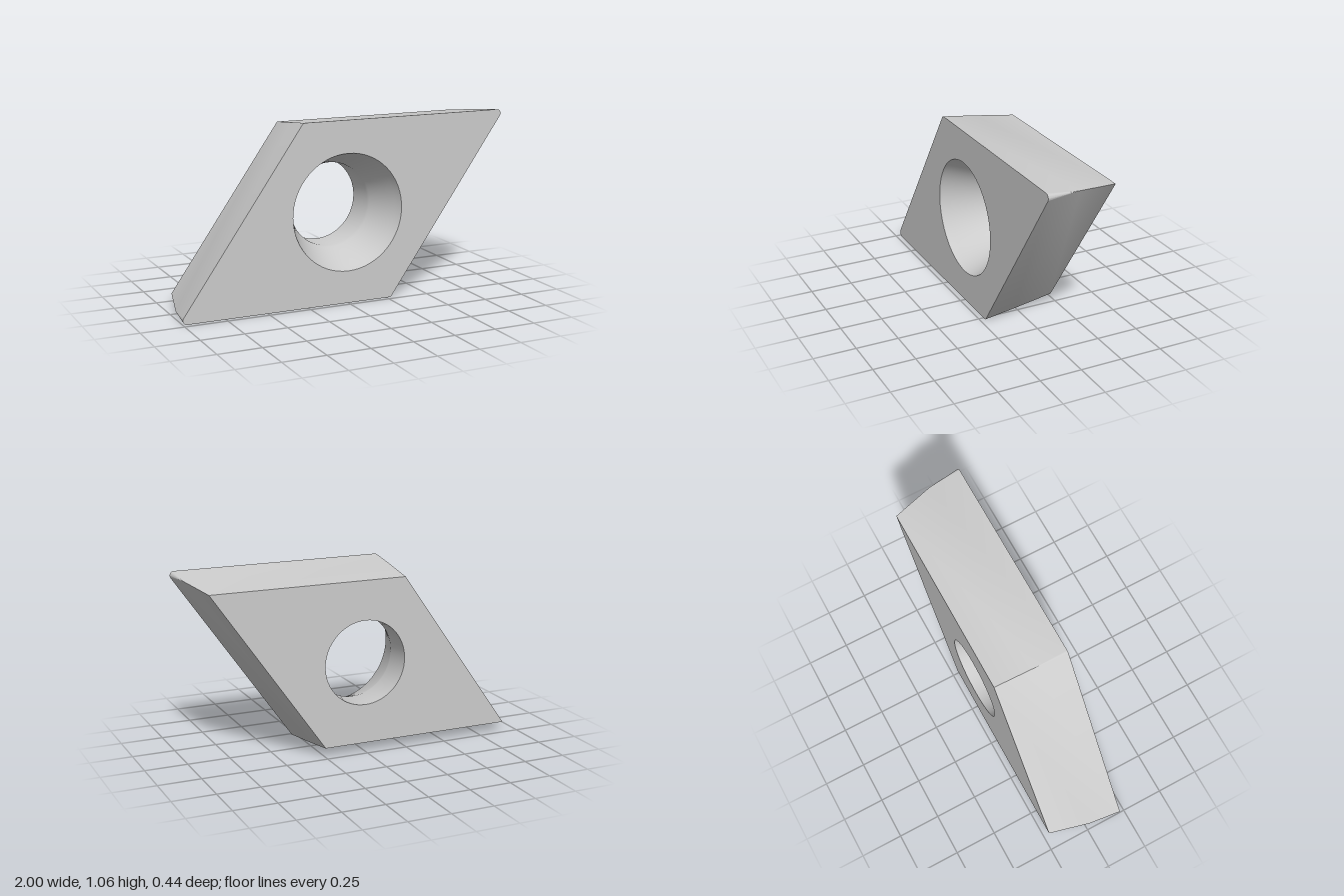
import * as THREE from 'three';
import { toCreasedNormals } from 'three/addons/utils/BufferGeometryUtils.js';

const HALF = 0.532;              // half height at the front face
const DEPTH = 0.44;              // thickness along z
const NOSE = 0.024;              // corner radius at the front face
const RELIEF = Math.tan(THREE.MathUtils.degToRad(7));
const ANGLE = THREE.MathUtils.degToRad(55);
const ARC = 8;

// Rounded rhombus outline, counter-clockwise, moved inward by the given inset
function outline(inset) {
  const side = HALF / Math.sin(ANGLE), shift = HALF / Math.tan(ANGLE);
  const corners = [
    [side + shift, HALF, -35, 90],
    [shift - side, HALF, 90, 145],
    [-side - shift, -HALF, 145, 270],
    [side - shift, -HALF, 270, 325],
  ];
  const radius = Math.max(NOSE - inset, 0);
  const scale = 1 - Math.max(inset, NOSE) / HALF;
  const points = [];
  for (const [x, y, from, to] of corners) {
    for (let i = 0; i <= ARC; i++) {
      const a = THREE.MathUtils.degToRad(from + (to - from) * i / ARC);
      points.push(new THREE.Vector2(x * scale + radius * Math.cos(a), y * scale + radius * Math.sin(a)));
    }
  }
  return points;
}

// Tapered flanks; the rounded corners run out to sharp edges part way back
function flankGeometry() {
  const levels = [0, NOSE / RELIEF, DEPTH];
  const positions = [], index = [];
  const n = 4 * (ARC + 1);
  levels.forEach((d) => {
    for (const p of outline(d * RELIEF)) positions.push(p.x, p.y, DEPTH / 2 - d);
  });
  for (let k = 0; k < levels.length - 1; k++) {
    for (let i = 0; i < n; i++) {
      const a = k * n + i, b = k * n + (i + 1) % n;
      index.push(a, a + n, b, b, a + n, b + n);
    }
  }
  const g = new THREE.BufferGeometry();
  g.setAttribute('position', new THREE.Float32BufferAttribute(positions, 3));
  g.setIndex(index);
  return toCreasedNormals(g, 0.5);
}

// Flat face with a round opening
function faceGeometry(points, holeRadius) {
  const shape = new THREE.Shape(points.filter((p, i) => i === 0 || p.distanceTo(points[i - 1]) > 1e-5));
  const hole = new THREE.Path();
  hole.absarc(0, 0, holeRadius, 0, Math.PI * 2, true);
  shape.holes.push(hole);
  return new THREE.ShapeGeometry(shape, 32);
}

// Screw hole: short lip, curved countersink, straight bore
function holeGeometry() {
  const z = DEPTH / 2;
  const seat = new THREE.QuadraticBezierCurve(
    new THREE.Vector2(0.335, z - 0.02),
    new THREE.Vector2(0.275, 0.06),
    new THREE.Vector2(0.248, -0.04),
  ).getPoints(10);
  const profile = [new THREE.Vector2(0.342, z), ...seat, new THREE.Vector2(0.248, -z)];
  const g = new THREE.LatheGeometry(profile, 64);
  g.rotateX(Math.PI / 2);
  return toCreasedNormals(g, 0.4);
}

export function createModel() {
  const group = new THREE.Group();
  group.name = 'rhombicInsert';
  const material = new THREE.MeshStandardMaterial({ color: 0xcccccc });
  const add = (name, geometry) => {
    const mesh = new THREE.Mesh(geometry, material);
    mesh.name = name;
    mesh.position.y = HALF;
    group.add(mesh);
    return mesh;
  };

  add('flanks', flankGeometry());
  add('frontFace', faceGeometry(outline(0), 0.342)).position.z = DEPTH / 2;

  // The outline is symmetric under a half turn, so mirror in x before turning it to the back
  const backPoints = outline(DEPTH * RELIEF).map((p) => new THREE.Vector2(-p.x, p.y)).reverse();
  const back = add('backFace', faceGeometry(backPoints, 0.248));
  back.position.z = -DEPTH / 2;
  back.rotation.y = Math.PI;

  add('screwHole', holeGeometry());
  return group;
}
